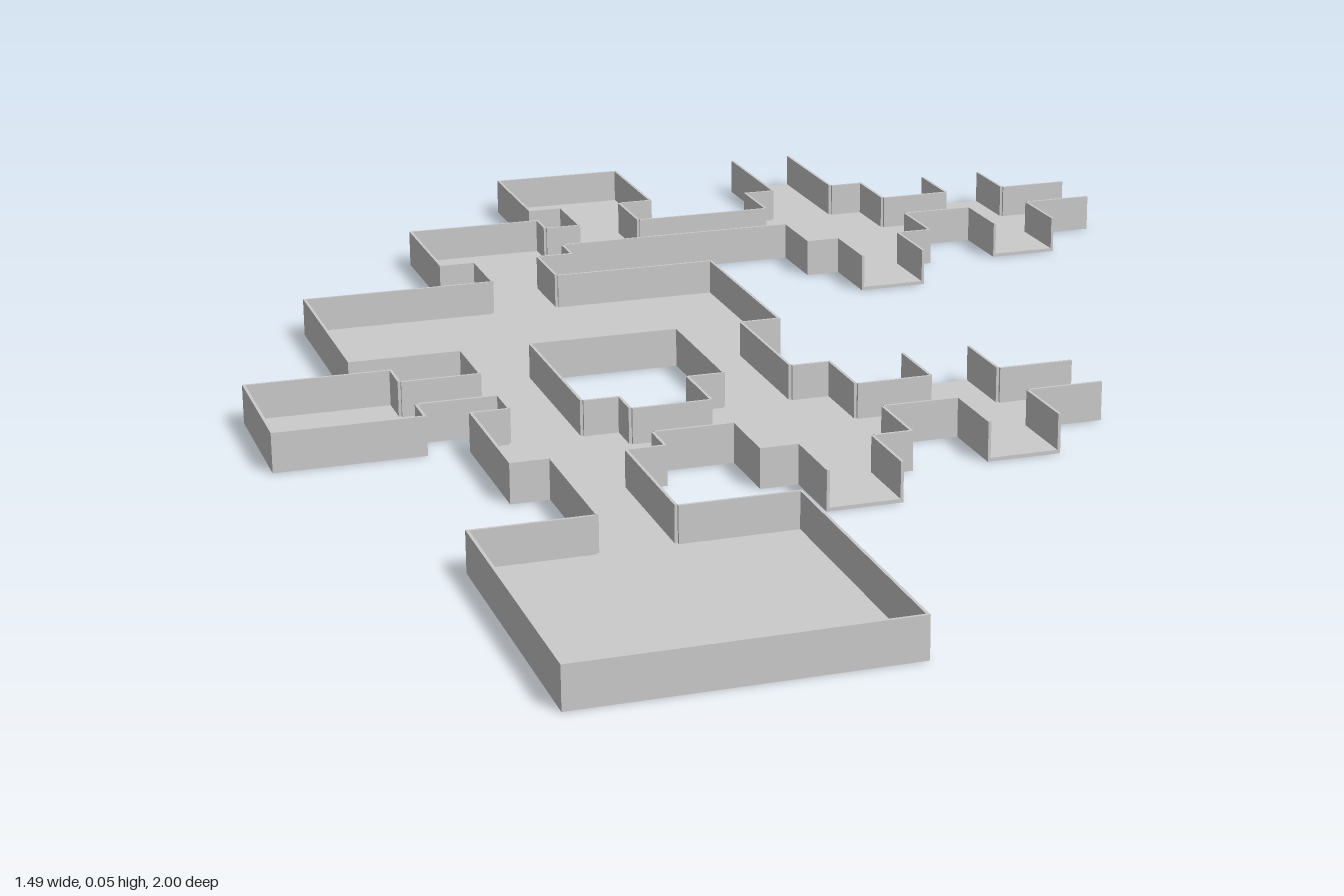
import * as THREE from 'three';

const FLOOR = 0.005, WALL = 0.055, THICK = 0.004;

// name, x0, x1, z0, z1, sides left open (N = -z, S = +z, W = -x, E = +x)
const AREAS = [
  ['frontHall', -0.59, -0.167, 0.577, 1, ''],
  ['frontPassage', -0.43, -0.327, 0.367, 0.577, ''],
  ['crossingRoom', -0.482, -0.275, 0.157, 0.367, ''],
  ['middlePassage', -0.43, -0.327, -0.105, 0.157, ''],
  ['westPassage', -0.538, -0.43, 0, 0.103, ''],
  ['westRoom', -0.743, -0.538, -0.055, 0.155, ''],
  ['innerPassage', -0.275, -0.167, 0.209, 0.312, ''],
  ['southRoom', -0.167, 0.042, 0.105, 0.417, ''],
  ['southExit', -0.115, -0.012, 0.417, 0.522, 'S'],
  ['loopPassage', -0.115, -0.015, -0.105, 0.105, ''],
  ['southEastPassage', 0.042, 0.147, 0.209, 0.312, ''],
  ['southEastCrossing', 0.147, 0.25, 0.105, 0.417, 'NS'],
  ['southEastExit', 0.25, 0.357, 0.209, 0.312, 'E'],
  ['greatHall', -0.588, 0.042, -0.425, -0.105, ''],
  ['northPassage', -0.305, -0.202, -0.53, -0.425, ''],
  ['northWestRoom', -0.358, -0.148, -0.737, -0.53, ''],
  ['longPassage', -0.148, 0.217, -0.688, -0.583, ''],
  ['northRoomPassage', -0.096, 0.006, -0.794, -0.688, ''],
  ['northRoom', -0.148, 0.059, -1, -0.794, ''],
  ['northEastRoom', 0.217, 0.424, -0.79, -0.478, ''],
  ['northEastExit', 0.265, 0.37, -1, -0.79, 'N'],
  ['innerEastExit', 0.268, 0.371, -0.478, -0.372, 'S'],
  ['eastPassage', 0.424, 0.532, -0.688, -0.583, ''],
  ['eastCrossing', 0.532, 0.636, -0.79, -0.478, 'NS'],
  ['eastExit', 0.636, 0.743, -0.688, -0.583, 'E'],
].map(([name, x0, x1, z0, z1, open]) => ({ name, W: x0, E: x1, N: z0, S: z1, open }));

const OPPOSITE = { N: 'S', S: 'N', W: 'E', E: 'W' };

// Stretches of one side that are not a doorway into a neighbouring area
function solidSpans(area, side) {
  const [lo, hi] = side === 'N' || side === 'S' ? ['W', 'E'] : ['N', 'S'];
  let spans = [[area[lo], area[hi]]];
  for (const other of AREAS) {
    if (Math.abs(other[OPPOSITE[side]] - area[side]) > 1e-4) continue;
    spans = spans.flatMap(([a, b]) => {
      if (other[hi] <= a || other[lo] >= b) return [[a, b]];
      return [[a, other[lo]], [other[hi], b]].filter(([p, q]) => q - p > 1e-4);
    });
  }
  return spans;
}

export function createModel() {
  const group = new THREE.Group();
  group.name = 'floorPlan';
  const material = new THREE.MeshStandardMaterial({ color: 0xcccccc, flatShading: true });

  function box(parent, name, x0, x1, y0, y1, z0, z1) {
    const mesh = new THREE.Mesh(new THREE.BoxGeometry(x1 - x0, y1 - y0, z1 - z0), material);
    mesh.position.set((x0 + x1) / 2, (y0 + y1) / 2, (z0 + z1) / 2);
    mesh.name = name;
    parent.add(mesh);
  }

  for (const area of AREAS) {
    const part = new THREE.Group();
    part.name = area.name;
    group.add(part);

    // Thin floor slab
    box(part, 'floor', area.W, area.E, 0, FLOOR, area.N, area.S);

    // Low walls just inside the edges, leaving doorways and exits open
    for (const side of ['N', 'S', 'W', 'E']) {
      if (area.open.includes(side)) continue;
      const at = area[side];
      const inner = at + (side === 'N' || side === 'W' ? THICK : -THICK);
      const near = Math.min(at, inner), far = Math.max(at, inner);
      for (const [a, b] of solidSpans(area, side)) {
        if (side === 'N' || side === 'S') box(part, 'wall', a, b, 0, WALL, near, far);
        else box(part, 'wall', near, far, 0, WALL, a, b);
      }
    }
  }
  return group;
}
